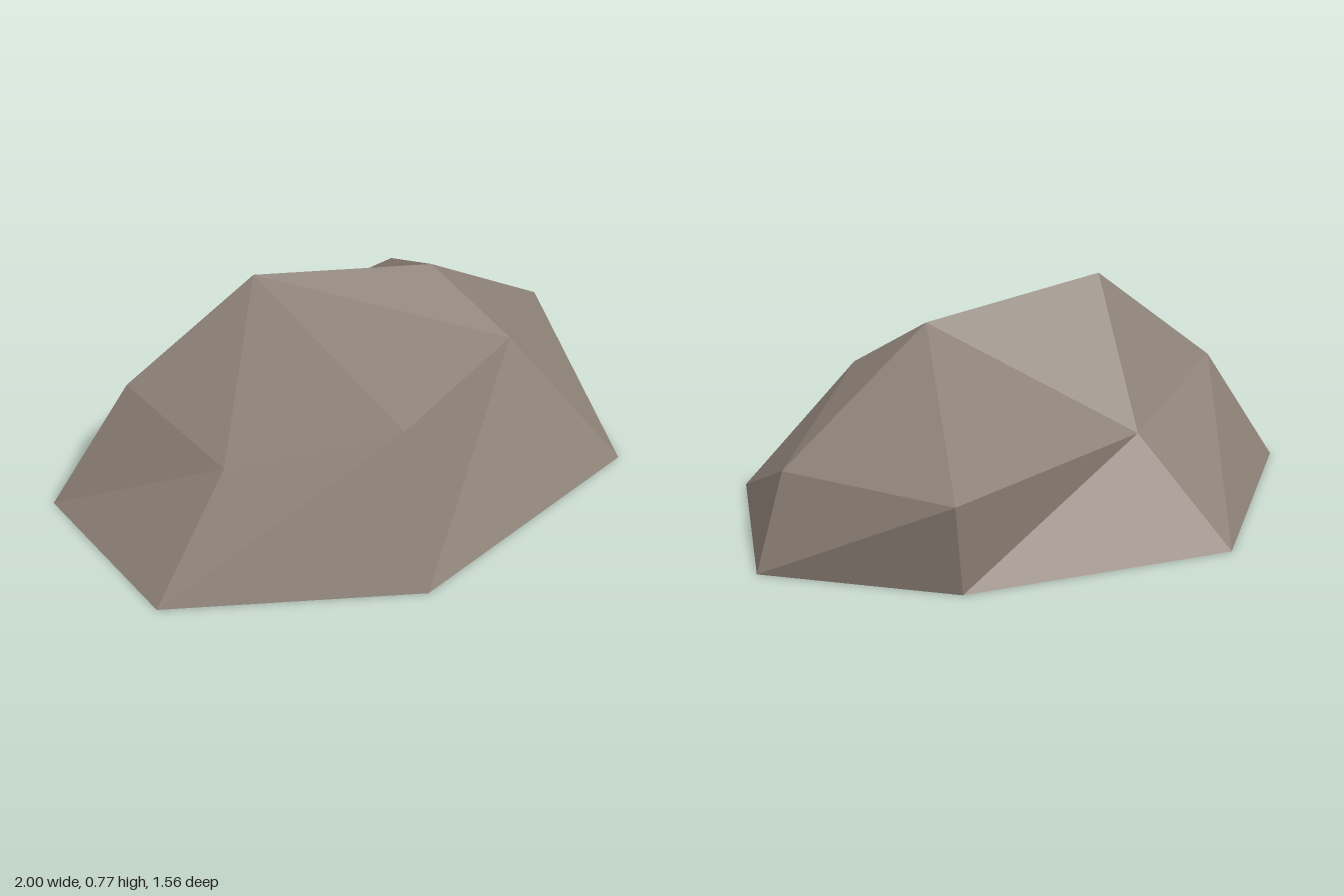
import * as THREE from 'three';

// Faceted boulder: a ground ring, a shoulder ring and two peaks joined by a ridge
const ground = [
  [-1, 0, -0.31], [-0.97, 0, 0.34], [-0.26, 0, 0.78], [0.72, 0, 0.66],
  [1, 0, 0.02], [0.57, 0, -0.48], [-0.28, 0, -0.78],
];
const shoulder = [
  [-0.73, 0.43, -0.21], [-0.64, 0.32, 0.23], [-0.2, 0.47, 0.57], [0.41, 0.48, 0.38],
  [0.89, 0.32, 0.02], [0.62, 0.32, -0.52], [-0.17, 0.33, -0.44],
];
const highPeak = [-0.32, 0.77, -0.06];
const lowPeak = [0.3, 0.67, 0.09];

function facets(name, triangles, material) {
  const geometry = new THREE.BufferGeometry();
  geometry.setAttribute('position', new THREE.Float32BufferAttribute(triangles.flat(2), 3));
  geometry.computeVertexNormals(); // unshared corners give flat facets
  const mesh = new THREE.Mesh(geometry, material);
  mesh.name = name;
  return mesh;
}

export function createModel() {
  const stone = new THREE.MeshStandardMaterial({ color: 0x8c8076 });
  stone.name = 'grey brown stone';
  const n = ground.length;
  const sides = [], cap = [], underside = [];

  for (let i = 0; i < n; i++) {
    const j = (i + 1) % n;
    // sloping wall between the rings
    sides.push([ground[i], ground[j], shoulder[j]], [ground[i], shoulder[j], shoulder[i]]);
    // cap facets rise to the nearer peak
    const peak = i >= 3 && i < 6 ? lowPeak : highPeak;
    cap.push([shoulder[i], shoulder[j], peak]);
    // flat bottom as a fan
    if (i > 0 && i < n - 1) underside.push([ground[0], ground[j], ground[i]]);
  }
  // two facets along the ridge
  cap.push([highPeak, shoulder[3], lowPeak], [lowPeak, shoulder[6], highPeak]);

  const rock = new THREE.Group();
  rock.name = 'rock';
  rock.add(
    facets('rockSides', sides, stone),
    facets('rockCap', cap, stone),
    facets('rockUnderside', underside, stone),
  );
  return rock;
}
